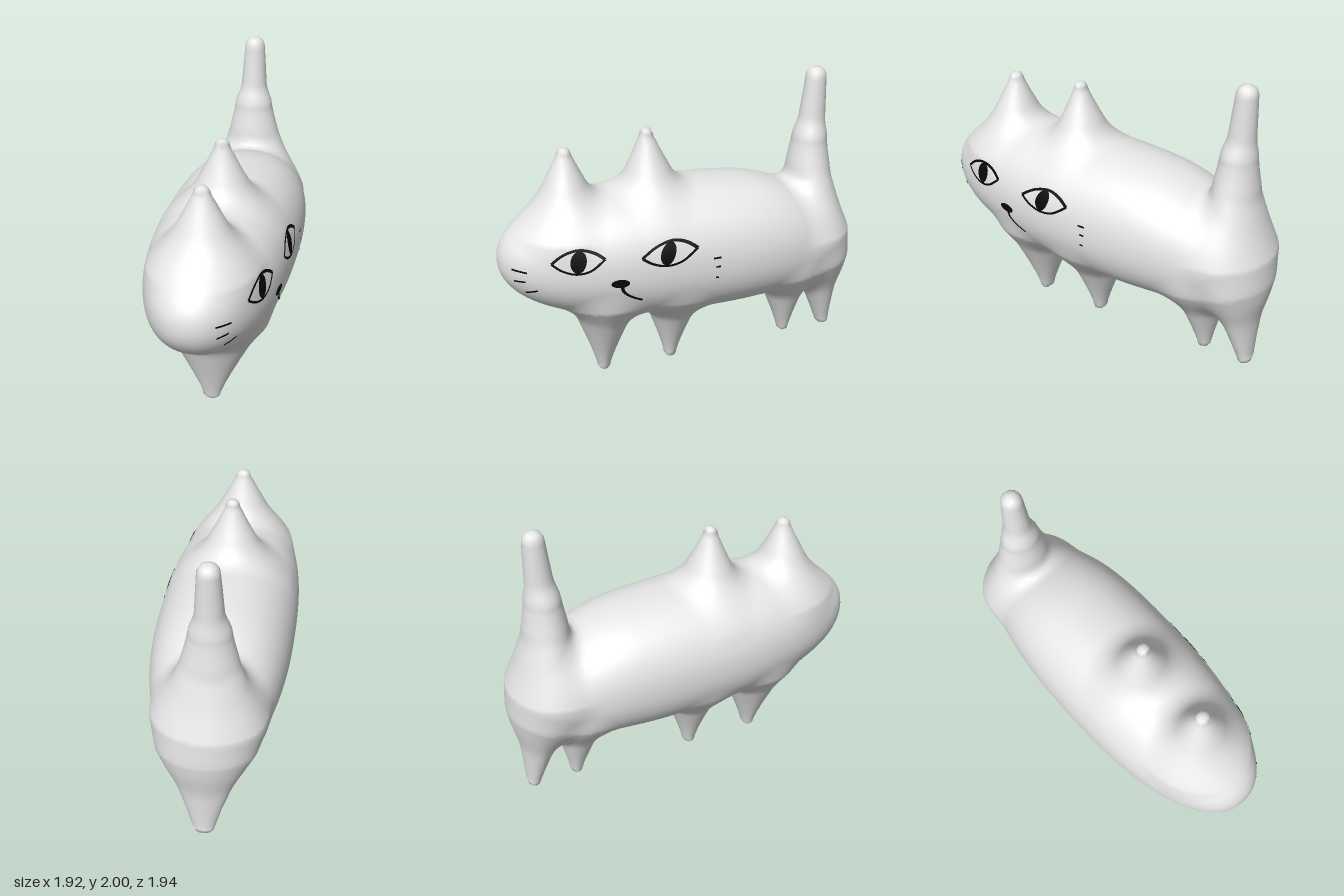
import * as THREE from 'three';

// The cat is one smooth skin, modelled in its own frame: x along the spine, z across the flank.
// Limbs: start [x, y, z], start radius, end [x, y, z], end radius, flare (1 = straight taper), width across.
const LIMBS = [
  [[-0.78, 1.14, 0], 0.285, [-0.775, 1.62, 0], 0.048, 1.05, 1.08],      // front ear
  [[-0.22, 1.14, 0], 0.31, [-0.235, 1.69, 0], 0.043, 1.1, 1.08],        // rear ear
  [[0.93, 0.88, -0.02], 0.265, [0.925, 1.5, -0.03], 0.085, 1.1, 1.3],   // tail root
  [[0.925, 1.35, -0.03], 0.11, [0.957, 1.93, -0.03], 0.07, 1, 1],       // tail
  [[-0.56, 0.62, 0], 0.255, [-0.566, 0.045, 0], 0.045, 1.15, 1.35],     // legs
  [[-0.08, 0.62, 0], 0.25, [-0.085, 0.05, 0], 0.045, 1.2, 1.35],
  [[0.75, 0.62, 0], 0.215, [0.775, 0.085, 0], 0.043, 1.15, 1.4],
  [[1.0, 0.66, 0], 0.18, [1.085, 0.09, 0], 0.048, 1.1, 1.5],
];

function limbDistance([a, ra, b, rb, flare, across], p) {
  const d = [0, 1, 2].map((i) => b[i] - a[i]);
  const q = [0, 1, 2].map((i) => p[i] - a[i]);
  const len = d[0] * d[0] + d[1] * d[1] + d[2] * d[2];
  const t = Math.min(1, Math.max(0, (q[0] * d[0] + q[1] * d[1] + q[2] * d[2]) / len));
  const radius = rb + (ra - rb) * Math.pow(1 - t, flare);
  return Math.hypot(q[0] - t * d[0], q[1] - t * d[1], (q[2] - t * d[2]) / across) - radius;
}

// Signed field of the whole skin: negative inside. The trunk is a boxy ellipsoid,
// more pointed at the nose and dropping at the rump.
function field(p) {
  const middle = 0.9 - 0.04 * p[0] - 0.25 * Math.max(0, p[0] - 0.4) ** 2;
  const s = p[0] + 0.02;
  const along = s < 0 ? Math.pow(-s / 1.22, 2.4) : Math.pow(s / 1.19, 2.65);
  const y = Math.abs(p[1] - middle) / 0.452;
  const w = Math.abs(p[2]) / 0.458;
  const sum = along + Math.pow(y, 2.15) + Math.pow(w, 2.15);
  let f = (Math.pow(sum, 1 / 2.15) - 1) * 0.44;
  for (const limb of LIMBS) {
    const d = limbDistance(limb, p);
    const h = Math.max(0.1 - Math.abs(f - d), 0) / 0.1;
    f = Math.min(f, d) - h * h * 0.025;
  }
  return f;
}

function gradient(p) {
  const e = 0.004;
  return [0, 1, 2].map((i) => {
    const a = [...p], b = [...p];
    a[i] += e;
    b[i] -= e;
    return (field(a) - field(b)) / (2 * e);
  });
}

// Skin mesh: one vertex per grid cell the surface crosses, one quad per crossed grid edge.
function skinGeometry() {
  const step = 0.032, min = [-1.33, -0.08, -0.57], n = [83, 68, 37];
  const stride = [1, n[0], n[0] * n[1]];
  const at = (i, j, k) => [min[0] + i * step, min[1] + j * step, min[2] + k * step];
  const values = new Float32Array(n[0] * n[1] * n[2]).fill(1);
  const each = (lo, fn) => {
    for (let k = lo; k < n[2] - 1; k++)
      for (let j = lo; j < n[1] - 1; j++)
        for (let i = lo; i < n[0] - 1; i++) fn(i, j, k, i + j * stride[1] + k * stride[2]);
  };
  each(0, (i, j, k, id) => { values[id] = field(at(i, j, k)); });

  const vertexOf = new Map(), positions = [], normals = [], index = [];
  each(0, (i, j, k, id) => {
    let count = 0;
    for (let c = 0; c < 8; c++) {
      if (values[id + (c & 1) + ((c >> 1) & 1) * stride[1] + (c >> 2) * stride[2]] < 0) count++;
    }
    if (count === 0 || count === 8) return;
    let p = at(i + 0.5, j + 0.5, k + 0.5);
    let g;
    for (let s = 0; s < 4; s++) {
      g = gradient(p);
      const move = field(p) / Math.max(0.05, g[0] ** 2 + g[1] ** 2 + g[2] ** 2);
      p = p.map((v, a) => v - Math.max(-0.02, Math.min(0.02, move * g[a])));
    }
    g = gradient(p);
    const l = Math.hypot(...g) || 1;
    vertexOf.set(id, positions.length / 3);
    positions.push(...p);
    normals.push(g[0] / l, g[1] / l, g[2] / l);
  });
  each(1, (i, j, k, id) => {
    for (let a = 0; a < 3; a++) {
      const inside = values[id] < 0;
      if (inside === values[id + stride[a]] < 0) continue;
      const b = stride[(a + 1) % 3], c = stride[(a + 2) % 3];
      const q = [id - b - c, id - c, id, id - b].map((v) => vertexOf.get(v));
      if (!inside) q.reverse();
      index.push(q[0], q[1], q[2], q[0], q[2], q[3]);
    }
  });
  return makeGeometry(positions, normals, index);
}

function makeGeometry(positions, normals, index) {
  const g = new THREE.BufferGeometry();
  g.setAttribute('position', new THREE.Float32BufferAttribute(positions, 3));
  g.setAttribute('normal', new THREE.Float32BufferAttribute(normals, 3));
  g.setIndex(index);
  return g;
}

// Drop a point of the face drawing straight back onto the skin, just proud of it.
function project(x, y) {
  const local = (z) => [(x - z) * Math.SQRT1_2, y, (x + z) * Math.SQRT1_2];
  let z = 1.05;
  while (z > -1 && field(local(z)) > 0) z -= 0.01;
  let lo = z, hi = z + 0.01;
  for (let s = 0; s < 12; s++) {
    const mid = (lo + hi) / 2;
    if (field(local(mid)) > 0) hi = mid; else lo = mid;
  }
  const p = local(hi), g = gradient(p), l = Math.hypot(...g) || 1;
  const normal = g.map((v) => v / l);
  return { point: p.map((v, i) => v + normal[i] * 0.004), normal };
}

// Thin painted patch from a rule (s, t) -> [x, y].
function patch(rule, ns, nt) {
  const positions = [], normals = [], index = [];
  for (let i = 0; i <= ns; i++) {
    for (let j = 0; j <= nt; j++) {
      const { point, normal } = project(...rule(i / ns, j / nt));
      positions.push(...point);
      normals.push(...normal);
      if (i === ns || j === nt) continue;
      const a = i * (nt + 1) + j, b = a + nt + 1;
      index.push(a, a + 1, b, b, a + 1, b + 1);
    }
  }
  return makeGeometry(positions, normals, index);
}

const disc = (x, y, rx, ry) => patch((s, t) => {
  const a = s * Math.PI * 2;
  return [x + Math.cos(a) * rx * t, y + Math.sin(a) * ry * t];
}, 24, 3);

function stroke(points, width) {
  const curve = new THREE.SplineCurve(points.map((p) => new THREE.Vector2(...p)));
  return patch((s, t) => {
    const p = curve.getPoint(s), d = curve.getTangent(s);
    return [p.x - d.y * (t - 0.5) * width, p.y + d.x * (t - 0.5) * width];
  }, 20, 1);
}

export function createModel() {
  const model = new THREE.Group();
  model.name = 'cat';
  const fur = new THREE.MeshStandardMaterial({ color: 0xeeeeee });
  fur.name = 'pale fur';
  const ink = new THREE.MeshStandardMaterial({ color: 0x080808, side: THREE.DoubleSide });
  ink.name = 'black ink';

  const cat = new THREE.Group();
  cat.name = 'turnedCat';
  cat.rotation.y = Math.PI / 4;
  model.add(cat);
  const add = (name, geometry, material = ink) => {
    const mesh = new THREE.Mesh(geometry, material);
    mesh.name = name;
    cat.add(mesh);
  };

  add('body', skinGeometry(), fur);

  // Eyes: upper lid, lower lid and slit pupil
  for (const [side, x0, x1, px, rx] of [['right', -0.455, -0.168, -0.305, 0.043], ['left', 0.018, 0.28, 0.142, 0.036]]) {
    const w = x1 - x0, m = (x0 + x1) / 2;
    add(side + 'UpperLid', stroke([[x0, 1.035], [m - w * 0.27, 1.095], [m, 1.122], [m + w * 0.27, 1.1], [x1, 1.055]], 0.017));
    add(side + 'LowerLid', stroke([[x0, 1.035], [m - w * 0.27, 0.99], [m, 0.968], [m + w * 0.27, 0.988], [x1, 1.055]], 0.014));
    add(side + 'Pupil', disc(px, 1.045, rx, 0.072));
  }

  // Nose and mouth
  add('nose', disc(-0.087, 0.882, 0.047, 0.03));
  add('mouth', stroke([[-0.08, 0.87], [-0.075, 0.82], [-0.045, 0.775], [0.005, 0.735]], 0.017));

  // Whiskers
  const whiskers = [
    [[-0.715, 0.968], [-0.605, 0.963]], [[-0.705, 0.888], [-0.62, 0.897]], [[-0.64, 0.808], [-0.55, 0.838]],
    [[0.365, 0.967], [0.4, 0.967]], [[0.378, 0.908], [0.4, 0.904]], [[0.375, 0.83], [0.39, 0.828]],
  ];
  whiskers.forEach((ends, i) => add('whisker' + (i + 1), stroke(ends, 0.012)));

  return model;
}
